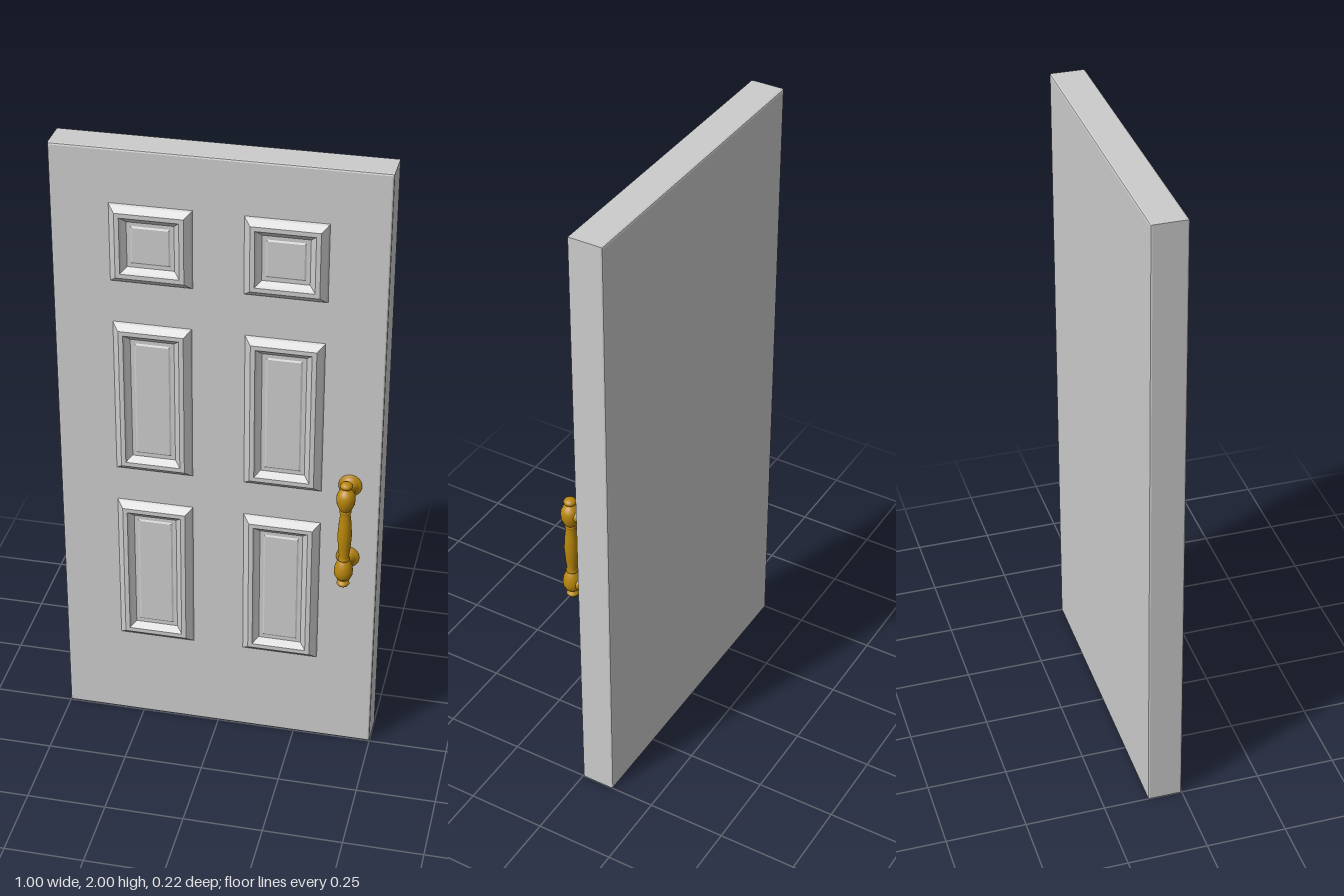
import * as THREE from 'three';

const grey = new THREE.MeshStandardMaterial({ color: 0xcccccc, flatShading: true });
const brass = new THREE.MeshStandardMaterial({ color: 0xb8860b });

function add(parent, name, geometry, material) {
  const mesh = new THREE.Mesh(geometry, material);
  mesh.name = name;
  parent.add(mesh);
  return mesh;
}

// Slab with softly bevelled edges, front face on z = 0
function slabGeometry(w, h, d, b) {
  const s = new THREE.Shape();
  const x = w / 2 - b;
  s.moveTo(-x, b).lineTo(x, b).lineTo(x, h - b).lineTo(-x, h - b).closePath();
  const g = new THREE.ExtrudeGeometry(s, {
    depth: d - 2 * b, bevelSize: b, bevelThickness: b, bevelSegments: 2,
  });
  return g.translate(0, 0, b - d);
}

// Moulding: concentric rectangles [inset, z] joined by mitred strips
const moulding = [
  [0, 0], [0.004, 0.006], [0.021, 0.023], [0.035, 0.023],
  [0.04, 0.017], [0.053, 0.005], [0.065, 0.005], [0.07, 0.008],
];
function panelGeometry(w, h) {
  const pos = [], index = [];
  for (const [inset, z] of moulding) {
    const x = w / 2 - inset, y = h / 2 - inset;
    pos.push(-x, -y, z, x, -y, z, x, y, z, -x, y, z);
  }
  for (let r = 0; r < moulding.length - 1; r++) {
    for (let i = 0; i < 4; i++) {
      const a = r * 4 + i, b = r * 4 + (i + 1) % 4;
      index.push(a, b, b + 4, a, b + 4, a + 4);
    }
  }
  const c = (moulding.length - 1) * 4; // central field
  index.push(c, c + 1, c + 2, c, c + 2, c + 3);
  const g = new THREE.BufferGeometry();
  g.setAttribute('position', new THREE.Float32BufferAttribute(pos, 3));
  g.setIndex(index);
  const flat = g.toNonIndexed();
  flat.computeVertexNormals();
  return flat;
}

// Turned part from [radius, height] pairs listed from bottom to top
function turned(points) {
  return new THREE.LatheGeometry(points.map(([r, y]) => new THREE.Vector2(r, y)), 24);
}

export function createModel() {
  const door = new THREE.Group();
  door.name = 'door';
  add(door, 'slab', slabGeometry(1, 2, 0.11, 0.006), grey);

  // Three rows of raised panels: [centre y, width, height]
  const rows = [[1.705, 0.248, 0.25], [1.19, 0.24, 0.51], [0.565, 0.24, 0.51]];
  for (const [y, w, h] of rows) {
    for (const side of [-1, 1]) {
      add(door, side < 0 ? 'rightPanel' : 'leftPanel', panelGeometry(w, h), grey)
        .position.set(side * 0.2, y, 0);
    }
  }

  // Pull handle, mirrored about its middle
  const handle = new THREE.Group();
  handle.name = 'handle';
  handle.position.set(0.408, 0.84, 0);
  door.add(handle);

  const grip = [[0.013, -0.1], [0.018, -0.088], [0.018, -0.082], [0.015, -0.077],
    [0.019, -0.045], [0.022, 0]];
  const upperGrip = grip.slice(0, -1).reverse().map(([r, y]) => [r, -y]);
  add(handle, 'grip', turned([...grip, ...upperGrip]), brass).position.z = 0.078;

  // Bulb and finial, from the grip end outwards
  const bulb = [[0.013, 0.086], [0.018, 0.092], [0.022, 0.1], [0.027, 0.112], [0.029, 0.128],
    [0.028, 0.142], [0.022, 0.155], [0.013, 0.161], [0.011, 0.165], [0.018, 0.17],
    [0.02, 0.176], [0.016, 0.182], [0.008, 0.186], [0, 0.187]];
  // Rosette and stem, from the door outwards
  const stem = [[0.036, 0], [0.036, 0.004], [0.032, 0.007], [0.025, 0.009], [0.023, 0.015],
    [0.016, 0.022], [0.013, 0.032], [0.015, 0.042], [0.019, 0.048], [0.019, 0.078]];
  for (const s of [-1, 1]) {
    const end = add(handle, s < 0 ? 'lowerBulb' : 'upperBulb', turned(bulb), brass);
    end.position.z = 0.078;
    if (s < 0) end.rotation.z = Math.PI;
    const mount = add(handle, s < 0 ? 'lowerMount' : 'upperMount', turned(stem), brass);
    mount.rotation.x = Math.PI / 2;
    mount.position.y = s * 0.13;
  }
  return door;
}
